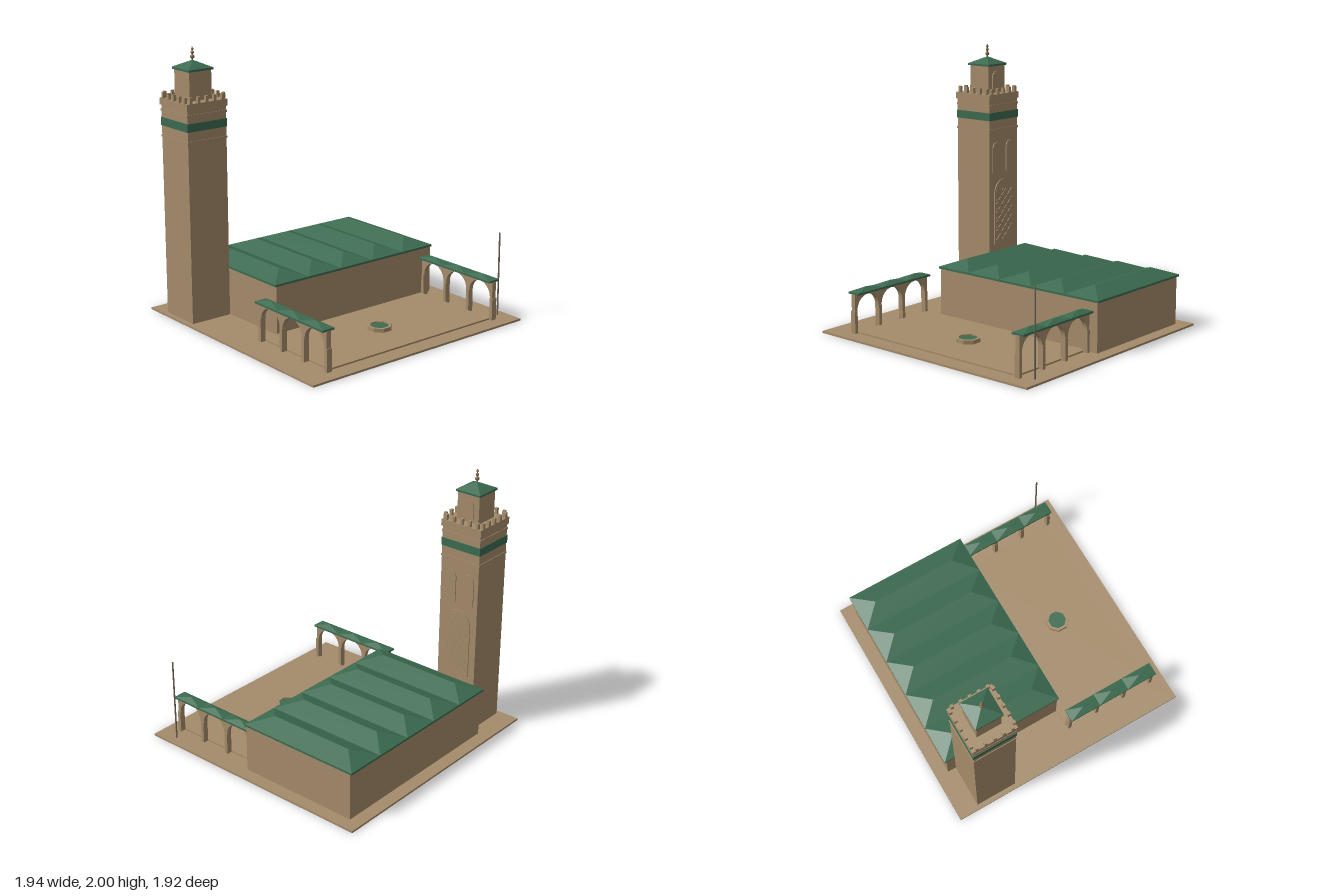
import * as THREE from 'three';

export function createModel() {
  const root = new THREE.Group();
  root.name = 'mosque';
  const mat = (name, color) => Object.assign(new THREE.MeshStandardMaterial({ color }), { name });
  const stone = mat('sandstone', 0xa58c6b);
  const green = mat('greenTile', 0x3c6b50);
  const bronze = mat('bronze', 0x86694a);
  const pole = mat('poleMetal', 0x75685a);

  const add = (name, geo, m, x = 0, y = 0, z = 0, parent = root) => {
    const mesh = new THREE.Mesh(geo, m);
    mesh.name = name;
    mesh.position.set(x, y, z);
    parent.add(mesh);
    return mesh;
  };
  // box given by its centre in plan and its bottom and top heights
  const box = (name, m, x, z, w, d, y0, y1, parent = root) =>
    add(name, new THREE.BoxGeometry(w, y1 - y0, d), m, x, (y0 + y1) / 2, z, parent);

  // hipped roof with its ridge along z; inset = d / 2 makes a pyramid
  const hipGeo = (w, d, h, inset) => {
    const a = [-w / 2, 0, -d / 2], b = [w / 2, 0, -d / 2], c = [w / 2, 0, d / 2], e = [-w / 2, 0, d / 2];
    const r = [0, h, -d / 2 + inset], f = [0, h, d / 2 - inset];
    const tris = [e, c, f, b, a, r, c, b, r, a, e, f];
    if (inset < d / 2) tris.push(c, r, f, a, f, r);
    const g = new THREE.BufferGeometry();
    g.setAttribute('position', new THREE.Float32BufferAttribute(tris.flat(), 3));
    g.computeVertexNormals();
    return g;
  };

  // ground and courtyard
  box('groundSlab', stone, 0, 0, 1.94, 1.92, 0, 0.015);
  box('courtyardFloor', stone, 0.025, 0.465, 1.51, 0.73, 0.015, 0.027);

  // prayer hall with five parallel hipped roofs
  const hall = new THREE.Group();
  hall.name = 'prayerHall';
  root.add(hall);
  box('hallWalls', stone, 0.1375, -0.383, 1.475, 0.955, 0.015, 0.38, hall);
  box('hallEave', green, 0.135, -0.39, 1.5, 0.98, 0.376, 0.391, hall);
  for (let i = 0; i < 5; i++)
    add('hallRoof', hipGeo(0.3, 0.98, 0.059, 0.155), green, -0.465 + i * 0.3, 0.391, -0.39, hall);

  // minaret
  const tower = new THREE.Group();
  tower.name = 'minaret';
  tower.position.set(-0.77, 0, -0.63);
  root.add(tower);
  const tier = (name, m, w, y0, y1) => box(name, m, 0, 0, w, w, y0, y1, tower);
  tier('shaft', stone, 0.328, 0.015, 1.58);
  tier('lowerLedge', stone, 0.337, 1.347, 1.363);
  tier('tileBand', green, 0.337, 1.43, 1.49);
  tier('upperLedge', stone, 0.337, 1.535, 1.551);
  tier('cornice', stone, 0.345, 1.58, 1.63);
  tier('lantern', stone, 0.187, 1.63, 1.84);
  tier('lanternEave', green, 0.21, 1.838, 1.853);
  add('lanternRoof', hipGeo(0.21, 0.21, 0.052, 0.105), green, 0, 1.853, 0, tower);

  // battlements, five on each side
  for (let side = 0; side < 4; side++) {
    const row = new THREE.Group();
    row.name = 'battlements';
    row.rotation.y = side * Math.PI / 2;
    tower.add(row);
    for (let i = -2; i <= 2; i++) box('merlon', stone, i * 0.0675, 0.162, 0.022, 0.022, 1.63, 1.674, row);
  }

  // finial: stem with shrinking balls
  add('finialStem', new THREE.CylinderGeometry(0.004, 0.005, 0.1, 8), bronze, 0, 1.947, 0, tower);
  [[1.927, 0.016], [1.958, 0.012], [1.982, 0.009]].forEach(([y, r]) =>
    add('finialBall', new THREE.SphereGeometry(r, 12, 8), bronze, 0, y, 0, tower));
  add('finialTip', new THREE.ConeGeometry(0.004, 0.012, 8), bronze, 0, 1.994, 0, tower);

  // round-headed panels on the courtyard-side face
  const archPanel = (name, x, z, w, y0, y1) => {
    const r = w / 2, s = new THREE.Shape();
    s.moveTo(-r, y0);
    s.lineTo(r, y0);
    s.lineTo(r, y1 - r);
    s.absarc(0, y1 - r, r, 0, Math.PI);
    s.closePath();
    const g = new THREE.ExtrudeGeometry(s, { depth: 0.008, bevelEnabled: false, curveSegments: 16 });
    add(name, g.rotateY(-Math.PI / 2), stone, x + 0.007, 0, z, tower);
  };
  archPanel('archPanel', 0.164, 0, 0.22, 0.45, 0.962);
  for (const s of [-1, 1]) archPanel('windowPanel', 0.164, s * 0.078, 0.1, 1.02, 1.26);
  archPanel('lanternPanel', 0.0935, 0, 0.1, 1.655, 1.8);

  // diagonal lattice, each bar clipped to the panel
  for (const s of [-1, 1]) for (let i = 0; i < 6; i++) {
    const yc = 0.5 + i * 0.072;
    const lo = Math.max(-0.09, 0.48 - yc), hi = Math.min(0.09, 0.88 - yc);
    const bar = box('latticeBar', stone, 0.1725, s * (lo + hi) / 2, 0.006, (hi - lo) * Math.SQRT2, 0, 0.012, tower);
    bar.position.y = yc + (lo + hi) / 2;
    bar.rotation.x = -s * Math.PI / 4;
  }

  // side arcades: pillars, arched wall and three small roofs
  const wall = new THREE.Shape();
  wall.moveTo(0.11, 0.305);
  wall.lineTo(0.11, 0.18);
  for (let i = 0; i < 3; i++) {
    const c = 0.241 + i * 0.2415;
    wall.lineTo(c - 0.105, 0.18);
    wall.absarc(c, 0.184, 0.105, Math.PI, 0, true);
    wall.lineTo(c + 0.105, 0.18);
  }
  wall.lineTo(0.852, 0.18);
  wall.lineTo(0.852, 0.305);
  wall.closePath();
  const wallGeo = new THREE.ExtrudeGeometry(wall, { depth: 0.036, bevelEnabled: false, curveSegments: 16 })
    .translate(0, 0, -0.018).rotateY(-Math.PI / 2);
  for (const x of [-0.75, 0.798]) {
    const arcade = new THREE.Group();
    arcade.name = 'arcade';
    arcade.position.x = x;
    root.add(arcade);
    add('archedWall', wallGeo, stone, 0, 0, 0, arcade);
    for (let i = 0; i < 4; i++) box('pillar', stone, 0, 0.12 + i * 0.2415, 0.042, 0.026, 0.015, 0.182, arcade);
    box('arcadeEave', green, 0, 0.478, 0.1, 0.745, 0.303, 0.317, arcade);
    for (let i = 0; i < 3; i++)
      add('arcadeRoof', hipGeo(0.1, 0.2483, 0.024, 0.12415), green, 0, 0.317, 0.2297 + i * 0.2483, arcade);
  }

  // octagonal fountain: rim and water
  const k = 1 / Math.cos(Math.PI / 8);
  const rim = new THREE.LatheGeometry(
    [[0.085, 0.015], [0.085, 0.056], [0.065, 0.056], [0.065, 0.03]].map(([r, y]) => new THREE.Vector2(r * k, y)),
    8, Math.PI / 8).toNonIndexed();
  rim.computeVertexNormals();
  const rimMat = stone.clone();
  rimMat.side = THREE.DoubleSide;
  add('fountainRim', rim, rimMat, 0.025, 0, 0.48);
  add('fountainWater', new THREE.CylinderGeometry(0.066 * k, 0.066 * k, 0.02, 8, 1, false, Math.PI / 8), green, 0.025, 0.038, 0.48);

  // flagpole
  add('flagpole', new THREE.CylinderGeometry(0.006, 0.006, 0.63, 10), pole, 0.9, 0.33, 0.795);

  return root;
}
